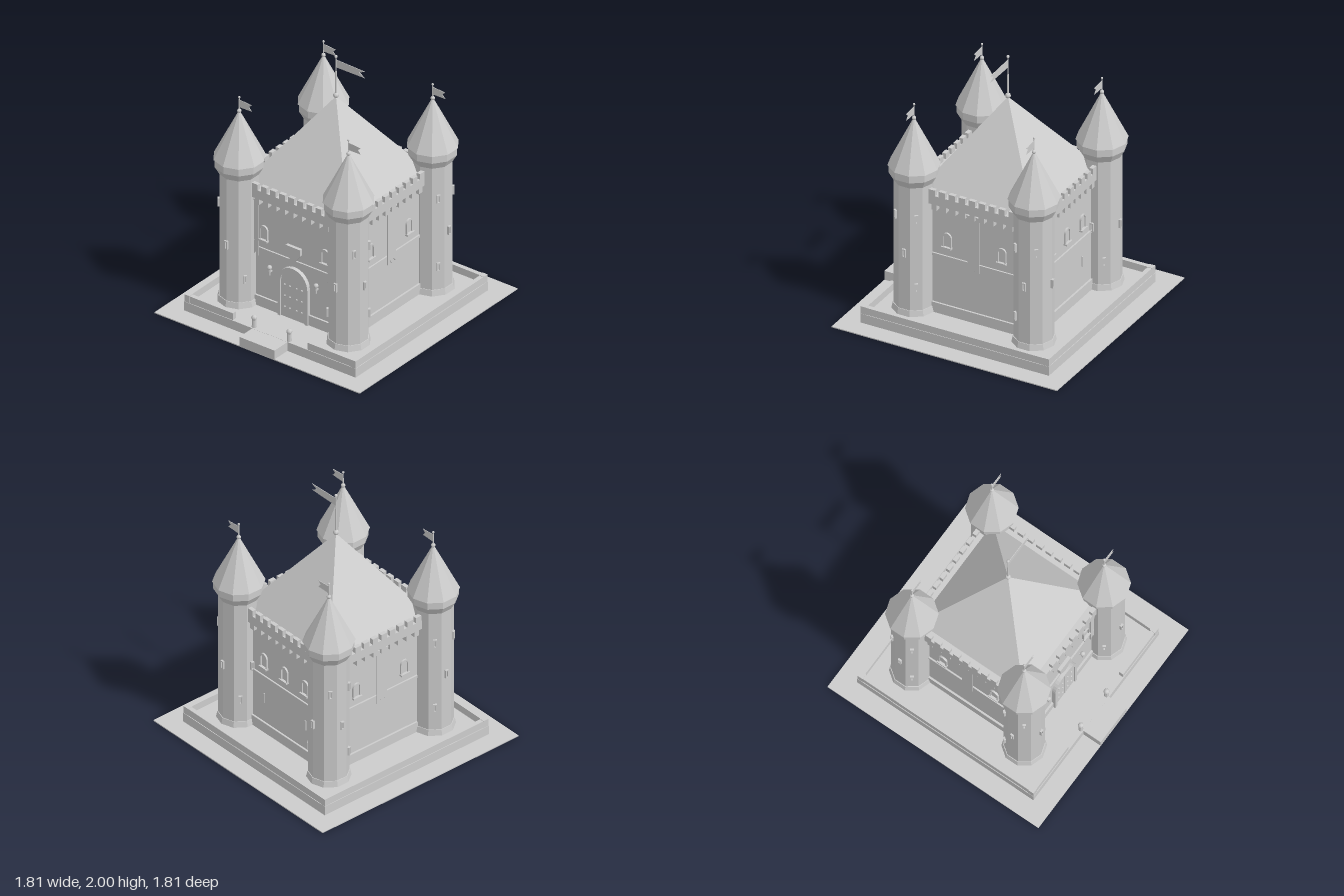
import * as THREE from 'three';

const stone = new THREE.MeshStandardMaterial({ color: 0xcccccc, flatShading: true });
stone.name = 'pale grey';

function add(parent, name, geometry, x = 0, y = 0, z = 0) {
  const mesh = new THREE.Mesh(geometry, stone);
  mesh.name = name;
  mesh.position.set(x, y, z);
  parent.add(mesh);
  return mesh;
}
function group(parent, name, x = 0, y = 0, z = 0, turn = 0) {
  const g = new THREE.Group();
  g.name = name;
  g.position.set(x, y, z);
  g.rotation.y = turn;
  parent.add(g);
  return g;
}
// Box given by centre x/z, bottom and top heights
function block(parent, name, w, y0, y1, d, x = 0, z = 0) {
  return add(parent, name, new THREE.BoxGeometry(w, y1 - y0, d), x, (y0 + y1) / 2, z);
}
function drum(parent, name, rTop, rBottom, y0, y1, sides = 10) {
  return add(parent, name, new THREE.CylinderGeometry(rTop, rBottom, y1 - y0, sides), 0, (y0 + y1) / 2, 0);
}
function ball(parent, name, r, x, y, z) {
  return add(parent, name, new THREE.SphereGeometry(r, 10, 8), x, y, z);
}
// Thin plate cut from an outline of [x, y] points
function plate(parent, name, points, depth, x, y, z) {
  const shape = new THREE.Shape(points.map(([px, py]) => new THREE.Vector2(px, py)));
  return add(parent, name, new THREE.ExtrudeGeometry(shape, { depth, bevelEnabled: false }), x, y, z);
}
function archShape(r, spring, Type = THREE.Shape) {
  const s = new Type();
  s.moveTo(-r, 0);
  s.lineTo(r, 0);
  s.lineTo(r, spring);
  s.absarc(0, spring, r, 0, Math.PI, false);
  s.lineTo(-r, 0);
  return s;
}
function arch(parent, name, r, spring, depth, x, y, z, hole = 0) {
  const s = archShape(r, spring);
  if (hole) s.holes.push(archShape(hole, spring, THREE.Path));
  const geo = new THREE.ExtrudeGeometry(s, { depth, bevelEnabled: false, curveSegments: 8 });
  return add(parent, name, geo, x, y, z);
}

// Pole with a ball at both ends and a swallowtail flag
function flagpole(parent, y0, y1, r, length, height, notch, flagTop) {
  drum(parent, 'flagpole', r * 0.7, r, y0, y1, 8);
  ball(parent, 'finialBall', r * 3.2, 0, y0, 0);
  ball(parent, 'poleTip', r * 1.8, 0, y1, 0);
  plate(parent, 'flag', [[0, -height], [length, -height + 0.002], [length - notch, -height / 2],
    [length, -0.008], [0, 0]], 0.004, 0, flagTop, -0.002);
}

// Corner tower; sx and sz tell which corner, slits mirror with it
function tower(parent, sx, sz) {
  const t = group(parent, 'cornerTower', sx * 0.482, 0, sz * 0.482);
  drum(t, 'towerFoot', 0.15, 0.16, 0.08, 0.125);
  drum(t, 'towerShaft', 0.145, 0.145, 0.08, 1.12);
  drum(t, 'towerFlare', 0.179, 0.145, 1.11, 1.17);
  drum(t, 'towerHead', 0.179, 0.179, 1.17, 1.235);
  drum(t, 'towerRoof', 0.004, 0.188, 1.23, 1.6);
  flagpole(t, 1.6, 1.71, 0.005, 0.11, 0.06, 0.025, 1.69);
  const slits = [[0, 0.58], [90, 0.58], [-90, 0.58], [54, 0.86], [126, 0.86], [-54, 0.31], [126, 0.31], [-126, 0.86]];
  for (const [deg, y] of slits) {
    const a = deg * Math.PI / 180;
    const g = group(t, 'arrowSlit', 0, y, 0, Math.atan2(sx * Math.sin(a), sz * Math.cos(a)));
    const z = deg === 0 ? 0.145 : 0.14;
    for (const s of [-1, 1]) {
      add(g, 'slitJamb', new THREE.BoxGeometry(0.008, 0.065, 0.026), s * 0.009, 0, z);
      add(g, 'slitCap', new THREE.BoxGeometry(0.026, 0.008, 0.026), 0, s * 0.029, z);
    }
  }
}

const W = 0.47; // half width of the keep walls

function windowAt(side, x) {
  arch(side, 'windowFrame', 0.036, 0.075, 0.014, x, 0.63, W, 0.025);
  arch(side, 'windowPane', 0.026, 0.075, 0.004, x, 0.63, W);
  block(side, 'windowSill', 0.08, 0.617, 0.63, 0.03, x, W + 0.01);
}
function bannerAt(side, x) {
  plate(side, 'banner', [[-0.045, 0.94], [-0.045, 0.49], [-0.02, 0.52], [0, 0.49],
    [0.02, 0.52], [0.045, 0.49], [0.045, 0.94]], 0.009, x, 0, W + 0.014);
  block(side, 'bannerRod', 0.11, 0.93, 0.942, 0.025, x, W + 0.014);
}

// One keep wall facing +z: battlements, mouldings, windows and banners
function wallSide(parent, turn, windows, banners) {
  const s = group(parent, 'keepSide', 0, 0, 0, turn);
  block(s, 'wallPlinth', 0.8, 0.08, 0.16, 0.03, 0, W);
  block(s, 'stringCourse', 0.8, 0.535, 0.555, 0.024, 0, W);
  block(s, 'parapet', 0.8, 0.965, 1.035, 0.065, 0, 0.4825);
  for (let i = -4; i <= 4; i++) block(s, 'merlon', 0.05, 1.03, 1.08, 0.03, i * 0.08, 0.5);
  for (let i = -4; i <= 4; i++) block(s, 'corbel', 0.042, 0.92, 0.967, 0.045, i * 0.076, 0.49);
  windows.forEach((x) => windowAt(s, x));
  banners.forEach((x) => bannerAt(s, x));
  return s;
}

export function createModel() {
  const castle = new THREE.Group();
  castle.name = 'castle';

  // Ground, terrace and front landing
  block(castle, 'groundPlate', 1.81, 0, 0.008, 1.81);
  block(castle, 'terrace', 1.515, 0.004, 0.08, 1.515);
  block(castle, 'landing', 0.31, 0.004, 0.079, 0.16, 0, 0.825);

  // Low wall around the terrace, open at the front
  block(castle, 'backLowWall', 1.5, 0.08, 0.135, 0.035, 0, -0.735);
  for (const s of [-1, 1]) {
    block(castle, 'sideLowWall', 0.035, 0.08, 0.135, 1.5, s * 0.735, 0);
    block(castle, 'frontLowWall', 0.42, 0.08, 0.135, 0.035, s * 0.54, 0.735);
    for (const z of [-1, 1]) block(castle, 'lowWallCorner', 0.045, 0.08, 0.138, 0.045, s * 0.733, z * 0.733);
    const post = group(castle, 'gatePost', s * 0.155, 0, 0.735);
    drum(post, 'postShaft', 0.015, 0.018, 0.08, 0.14, 8);
    ball(post, 'postBall', 0.021, 0, 0.155, 0);
  }

  // Keep with pyramid roof
  block(castle, 'keepWalls', 2 * W, 0.08, 1.03, 2 * W);
  const roof = add(castle, 'keepRoof', new THREE.ConeGeometry(0.45 * Math.SQRT2, 0.63, 4), 0, 1.35, 0);
  roof.rotation.y = Math.PI / 4;
  flagpole(group(castle, 'mainFlag'), 1.675, 1.988, 0.0065, 0.255, 0.062, 0.05, 1.964);

  // Four wall faces
  const front = wallSide(castle, 0, [-0.27, 0.27], [-0.35, 0.35]);
  const back = wallSide(castle, Math.PI, [-0.22, 0, 0.22], []);
  for (const s of [-1, 1]) {
    wallSide(castle, s * Math.PI / 2, [-0.22, 0.22], [0]);
    block(back, 'lowSlit', 0.014, 0.32, 0.4, 0.012, s * 0.22, W);
  }

  // Gate: arched frame, two leaves with studs, shield above
  arch(front, 'gateFrame', 0.132, 0.285, 0.03, 0, 0.08, W, 0.108);
  arch(front, 'gateDoor', 0.11, 0.285, 0.018, 0, 0.08, W);
  block(front, 'gateSeam', 0.006, 0.08, 0.47, 0.006, 0, W + 0.018);
  for (const x of [-0.075, -0.03, 0.03, 0.075]) {
    for (const y of [0.16, 0.25, 0.34]) ball(front, 'doorStud', 0.008, x, y, W + 0.018);
  }
  plate(front, 'shield', [[-0.063, 0.668], [-0.063, 0.615], [-0.025, 0.565], [0, 0.556],
    [0.025, 0.565], [0.063, 0.615], [0.063, 0.668]], 0.025, 0, 0, W);

  // Wall torches beside the gate
  for (const s of [-1, 1]) {
    const torch = group(front, 'torch', s * 0.205, 0, W + 0.025);
    drum(torch, 'torchStick', 0.011, 0.006, 0.37, 0.425, 8);
    ball(torch, 'torchFlame', 0.018, 0, 0.432, 0);
    block(torch, 'torchBracket', 0.01, 0.39, 0.402, 0.04, 0, -0.015);
  }

  for (const sx of [-1, 1]) for (const sz of [-1, 1]) tower(castle, sx, sz);
  return castle;
}
